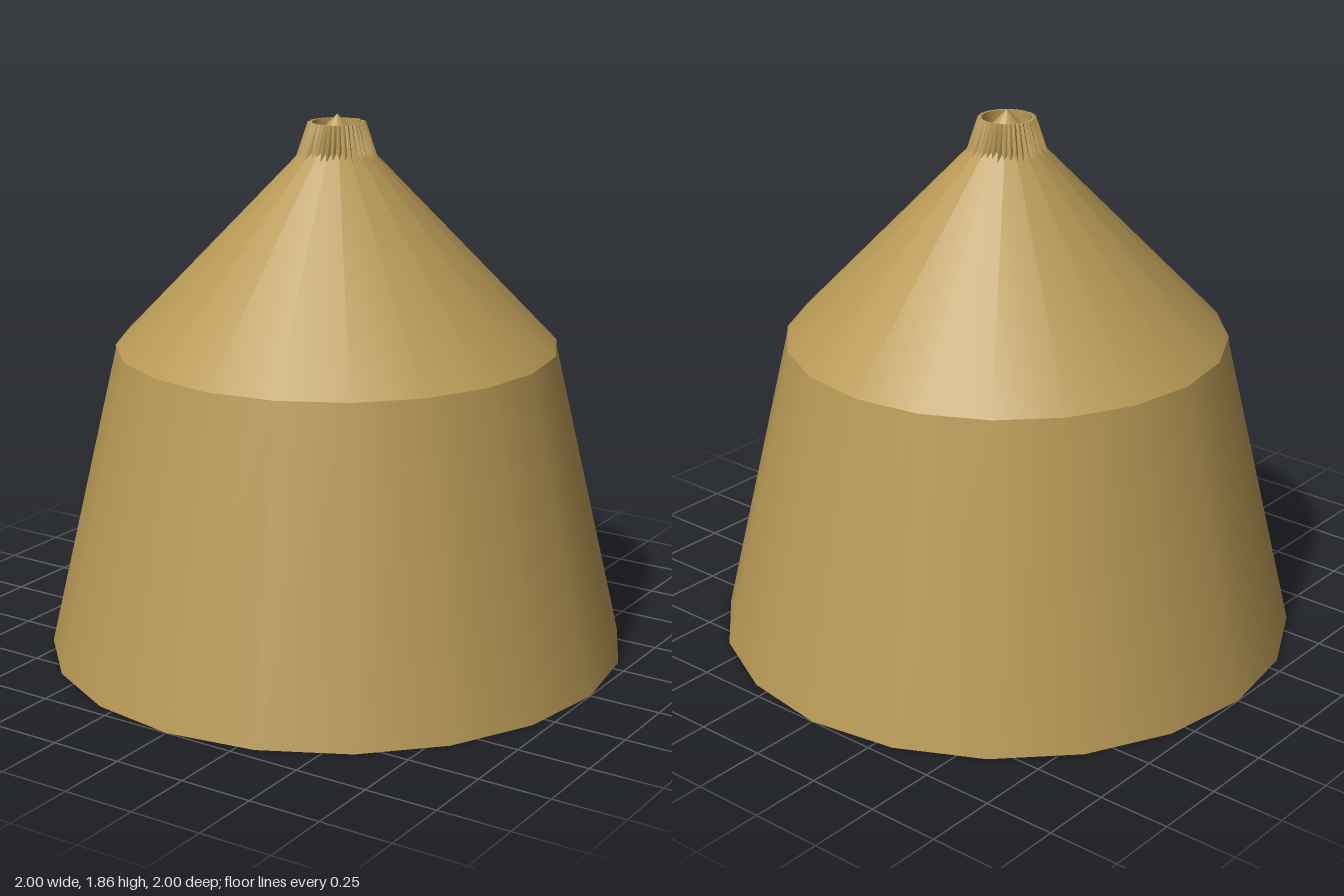
import * as THREE from 'three';

const SIDES = 20;

function thatch(side = THREE.FrontSide, flatShading = false) {
  return new THREE.MeshStandardMaterial({ color: 0xb89855, side, flatShading });
}

// Small seeded generator for the uneven straw
function seeded(seed) {
  return () => (seed = (seed * 16807) % 2147483647) / 2147483647;
}

// Gathered straw collar: smooth at the top, unevenly pleated towards the foot
function collarGeometry() {
  const pleats = 40, steps = pleats * 2;
  const profile = [[0.084, 1.75], [0.084, 1.828], [0.095, 1.828], [0.134, 1.70]];
  const geo = new THREE.LatheGeometry(profile.map(([r, y]) => new THREE.Vector2(r, y)), steps);
  const random = seeded(71);
  const offsets = Array.from({ length: steps }, (_, i) => (i % 2 ? -0.012 : 0.004) + (random() - 0.5) * 0.01);
  const pos = geo.attributes.position;
  for (let i = 0; i <= steps; i++) {
    for (let j = 2; j < profile.length; j++) {
      const k = i * profile.length + j;
      const offset = offsets[i % steps] * (j === 3 ? 1 : 0.4);
      const scale = 1 + offset / profile[j][0];
      pos.setX(k, pos.getX(k) * scale);
      pos.setZ(k, pos.getZ(k) * scale);
    }
  }
  geo.computeVertexNormals();
  return geo;
}

export function createModel() {
  const group = new THREE.Group();
  const add = (name, geometry, material, y = 0) => {
    const mesh = new THREE.Mesh(geometry, material);
    mesh.name = name;
    mesh.position.y = y;
    group.add(mesh);
  };

  // Tapered body with a closed floor
  add('body', new THREE.CylinderGeometry(0.75, 1, 1.075, SIDES), thatch(), 1.075 / 2);

  // Conical roof, slightly overhanging the body
  add('roof', new THREE.ConeGeometry(0.755, 0.785, SIDES), thatch(), 1.07 + 0.785 / 2);

  // Open collar around the roof peak
  add('collar', collarGeometry(), thatch(THREE.DoubleSide, true));

  return group;
}
